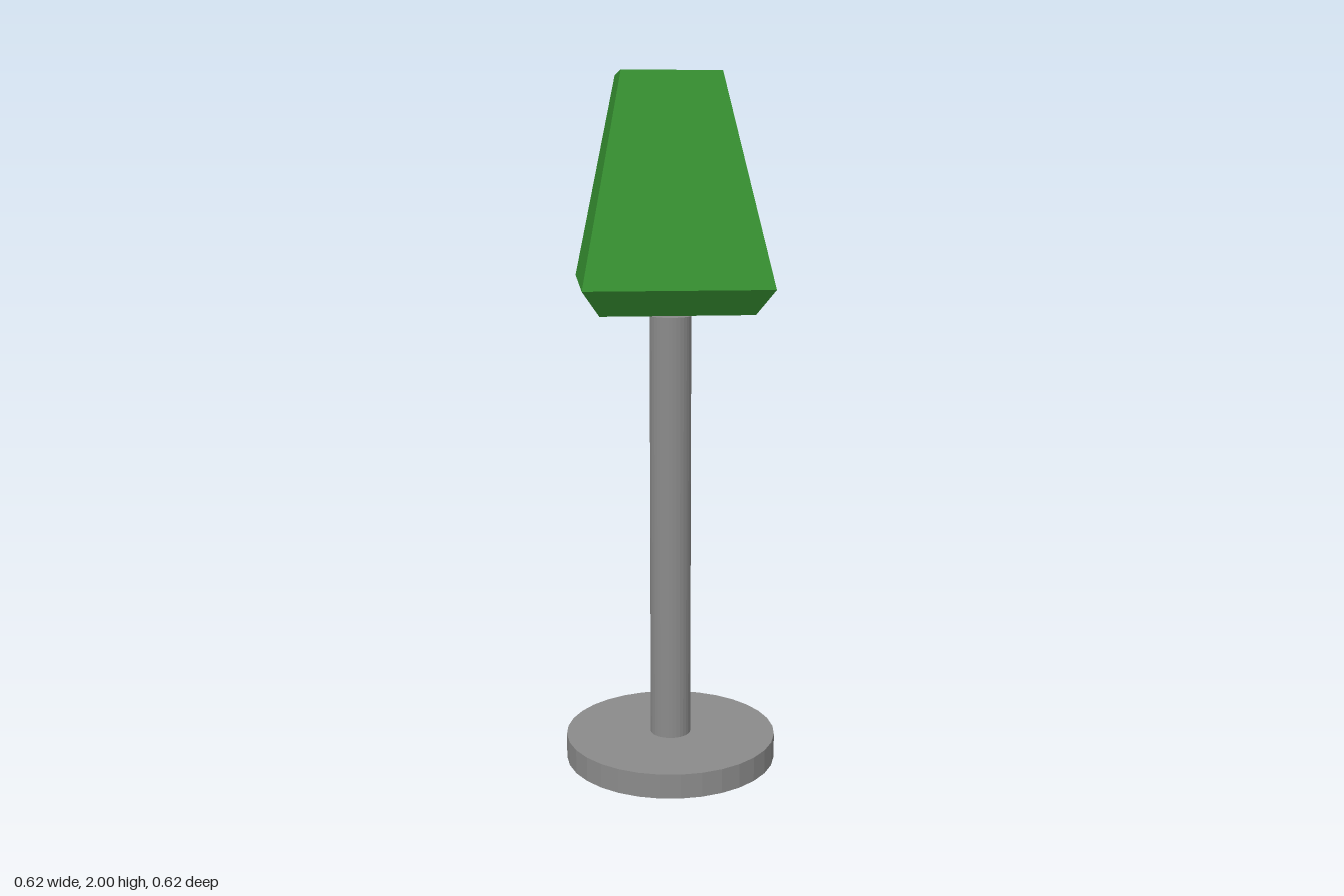
import * as THREE from 'three';

const grey = new THREE.MeshStandardMaterial({ color: 0x8b8b8b, flatShading: true });
const green = new THREE.MeshStandardMaterial({ color: 0x368f31, flatShading: true, side: THREE.DoubleSide });

function add(parent, name, geometry, material, y = 0) {
  const mesh = new THREE.Mesh(geometry, material);
  mesh.name = name;
  mesh.position.y = y;
  parent.add(mesh);
  return mesh;
}

// Open shell through square rings [y, half width, z offset], closed by a flat top
function squareShell(rings) {
  const points = [];
  const index = [];
  for (const [y, half, z] of rings) {
    points.push(-half, y, z + half, half, y, z + half, half, y, z - half, -half, y, z - half);
  }
  for (let r = 0; r < rings.length - 1; r++) {
    for (let i = 0; i < 4; i++) {
      const a = r * 4 + i;
      const b = r * 4 + (i + 1) % 4;
      index.push(a, b, b + 4, a, b + 4, a + 4);
    }
  }
  const t = (rings.length - 1) * 4;
  index.push(t, t + 1, t + 2, t, t + 2, t + 3);
  const geometry = new THREE.BufferGeometry();
  geometry.setAttribute('position', new THREE.Float32BufferAttribute(points, 3));
  geometry.setIndex(index);
  const flat = geometry.toNonIndexed();
  flat.computeVertexNormals();
  return flat;
}

export function createModel() {
  const lamp = new THREE.Group();
  lamp.name = 'lamp';

  // Round foot and post
  add(lamp, 'base', new THREE.CylinderGeometry(0.311, 0.311, 0.072, 32), grey, 0.036);
  add(lamp, 'post', new THREE.CylinderGeometry(0.06, 0.06, 1.253, 32), grey, 0.6985);

  // Shade: bevelled lower rim, tapering to a top set toward the back
  const shade = new THREE.Group();
  shade.name = 'shade';
  lamp.add(shade);
  add(shade, 'shadeShell', squareShell([[1.348, 0.212, 0], [1.42, 0.26, 0], [2, 0.14, -0.095]]), green);

  // Crossed support bars spanning the open underside
  add(shade, 'crossBarX', new THREE.BoxGeometry(0.44, 0.02, 0.1), green, 1.374);
  for (const side of [-1, 1]) {
    const bar = add(shade, 'crossBarZ', new THREE.BoxGeometry(0.1, 0.02, 0.17), green, 1.374);
    bar.position.z = side * 0.135;
  }
  return lamp;
}
